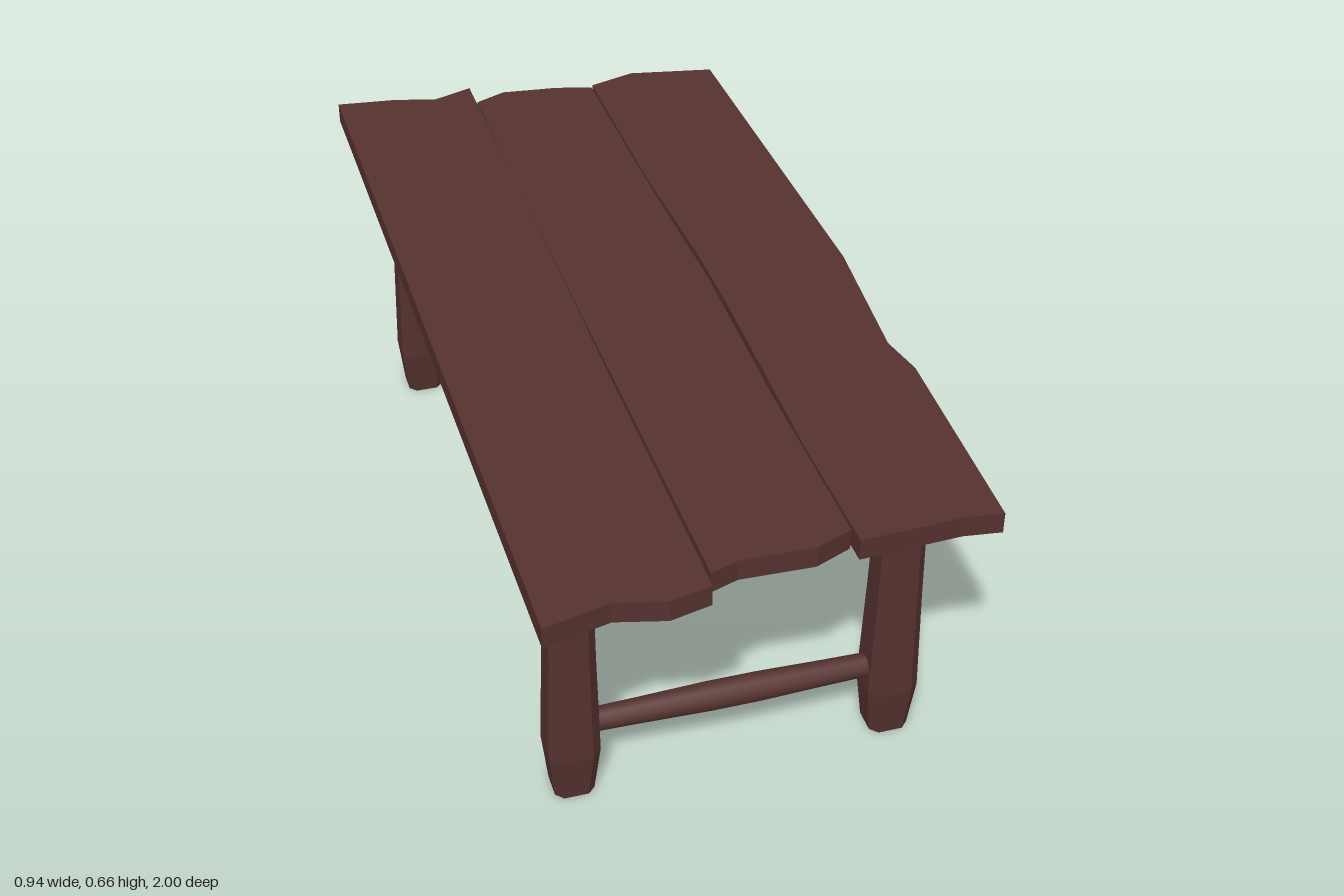
import * as THREE from 'three';

const wood = new THREE.MeshStandardMaterial({ color: 0x55322f, flatShading: true });
const smoothWood = new THREE.MeshStandardMaterial({ color: 0x55322f });
const iron = new THREE.MeshStandardMaterial({ color: 0x353c3e, flatShading: true });

const TOP_Y = 0.617, TOP_THICK = 0.045;
const LEG_X = [-0.353, 0.317], LEG_Z = 0.732;

function add(group, name, geometry, material) {
  const mesh = new THREE.Mesh(geometry, material);
  mesh.name = name;
  group.add(mesh);
  return mesh;
}

// Horizontal slab from an outline of [x, z] points, its underside at y
function slab(outline, y, thickness) {
  const shape = new THREE.Shape(outline.map(([x, z]) => new THREE.Vector2(x, -z)));
  const g = new THREE.ExtrudeGeometry(shape, { depth: thickness, bevelEnabled: false });
  return g.rotateX(-Math.PI / 2).translate(0, y, 0);
}

// Chamfered square post; sections are [y, half width]
function legGeometry() {
  const sections = [[0, 0.041], [0.11, 0.053], [0.35, 0.047], [TOP_Y, 0.0425]];
  const pos = [], index = [];
  for (const [y, h] of sections) {
    const c = h * 0.62;
    for (const [x, z] of [[h, c], [c, h], [-c, h], [-h, c], [-h, -c], [-c, -h], [c, -h], [h, -c]]) pos.push(x, y, z);
  }
  for (let s = 0; s < sections.length - 1; s++) {
    for (let i = 0; i < 8; i++) {
      const a = s * 8 + i, b = s * 8 + (i + 1) % 8;
      index.push(a, a + 8, b, b, a + 8, b + 8);
    }
  }
  const last = (sections.length - 1) * 8;
  for (let i = 1; i < 7; i++) {
    index.push(0, i, i + 1);
    index.push(last, last + i + 1, last + i);
  }
  const g = new THREE.BufferGeometry();
  g.setAttribute('position', new THREE.Float32BufferAttribute(pos, 3));
  g.setIndex(index);
  g.computeVertexNormals();
  return g;
}

// Slanted brace in the z-y plane
function braceGeometry(profile, width) {
  const shape = new THREE.Shape(profile.map(([z, y]) => new THREE.Vector2(z, y)));
  const g = new THREE.ExtrudeGeometry(shape, { depth: width, bevelEnabled: false });
  return g.translate(0, 0, -width / 2).rotateY(-Math.PI / 2);
}

export function createModel() {
  const table = new THREE.Group();
  table.name = 'plankTable';

  // Table top: three rough-cut planks
  const planks = {
    rightPlank: [[-0.47, -1], [-0.33, -0.985], [-0.24, -0.96], [-0.145, -0.995], [-0.143, -0.44],
      [-0.146, 0.3], [-0.145, 0.97], [-0.23, 0.99], [-0.33, 0.965], [-0.465, 0.997]],
    middlePlank: [[-0.143, -0.917], [-0.07, -0.95], [0.06, -0.937], [0.145, -0.915], [0.147, -0.4],
      [0.156, 0], [0.146, 0.45], [0.147, 0.89], [0.07, 0.922], [-0.08, 0.917], [-0.138, 0.937],
      [-0.14, 0.6], [-0.143, 0]],
    leftPlank: [[0.15, -0.925], [0.26, -0.96], [0.455, -0.925], [0.465, 0], [0.435, 0.34],
      [0.455, 0.44], [0.437, 0.925], [0.36, 0.915], [0.152, 0.925], [0.15, 0.62], [0.163, 0.1],
      [0.163, -0.1], [0.15, -0.45]],
  };
  for (const [name, outline] of Object.entries(planks)) add(table, name, slab(outline, TOP_Y, TOP_THICK), wood);

  // Legs with their slanted braces
  const legGeo = legGeometry();
  const braces = {
    front: braceGeometry([[0.69, 0.4], [0.69, 0.52], [0.57, TOP_Y], [0.45, TOP_Y]], 0.055),
    back: braceGeometry([[-0.69, 0.4], [-0.69, 0.52], [-0.545, TOP_Y], [-0.385, TOP_Y]], 0.055),
  };
  for (const end of ['front', 'back']) {
    const z = end === 'front' ? LEG_Z : -LEG_Z;
    LEG_X.forEach((x, i) => {
      const side = i ? 'Left' : 'Right';
      add(table, `${end}${side}Leg`, legGeo, wood).position.set(x, 0, z);
      add(table, `${end}${side}Brace`, braces[end], wood).position.x = x;
    });

    // Turned stretcher, thicker in the middle
    const profile = [[0.025, -0.31], [0.027, -0.2], [0.031, -0.05], [0.031, 0.05], [0.027, 0.2], [0.025, 0.31]];
    const g = new THREE.LatheGeometry(profile.map(([r, y]) => new THREE.Vector2(r, y)), 12);
    const stretcher = add(table, `${end}Stretcher`, g.rotateZ(Math.PI / 2), smoothWood);
    stretcher.position.set(-0.018, 0.16, z);
  }

  // Iron straps under the planks, with tapered ends
  [0.612, 0.016, -0.577].forEach((z, i) => {
    const w = 0.026, a = -0.43, b = 0.42;
    const outline = [[a, z - w / 2], [a + 0.02, z - w], [b - 0.02, z - w], [b, z - w / 2],
      [b, z + w / 2], [b - 0.02, z + w], [a + 0.02, z + w], [a, z + w / 2]];
    add(table, `ironStrap${i + 1}`, slab(outline, TOP_Y - 0.008, 0.008), iron);
  });

  return table;
}
